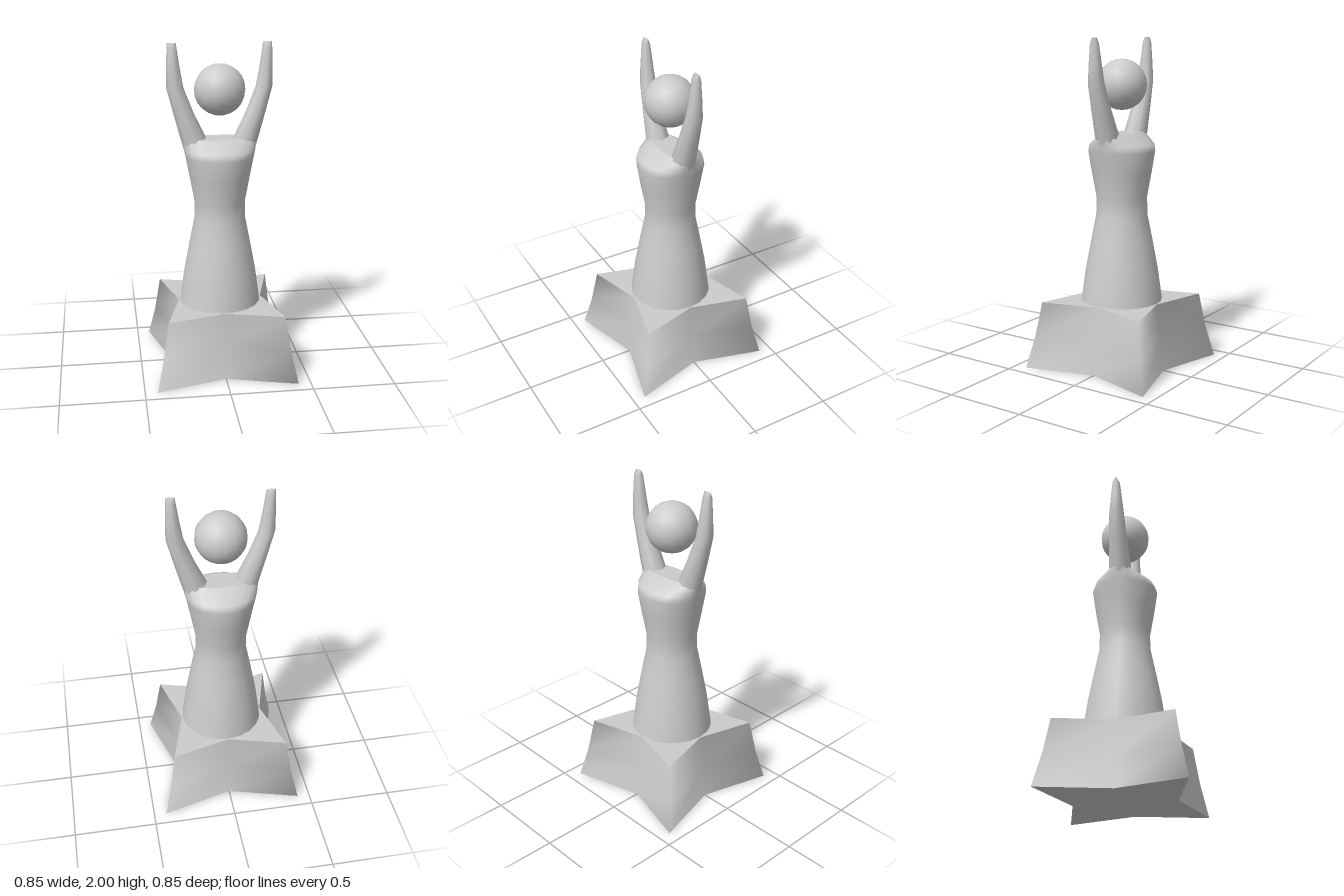
import * as THREE from 'three';
import { mergeGeometries } from 'three/addons/utils/BufferGeometryUtils.js';

const material = new THREE.MeshStandardMaterial({ color: 0xcccccc });

// Smooth skin through rings of points (bottom to top), closed by flat caps.
function loft(rings) {
  const n = rings[0].length;
  const build = (points, index) => {
    const g = new THREE.BufferGeometry().setFromPoints(points);
    g.setIndex(index);
    g.computeVertexNormals();
    return g;
  };
  const side = [];
  for (let r = 0; r < rings.length - 1; r++) {
    for (let i = 0; i < n; i++) {
      const a = r * n + i, b = r * n + (i + 1) % n;
      side.push(a, a + n, b, b, a + n, b + n);
    }
  }
  const cap = (ring, up) => {
    const centre = new THREE.Vector3();
    ring.forEach((p) => centre.addScaledVector(p, 1 / n));
    const index = [];
    for (let i = 0; i < n; i++) {
      const j = (i + 1) % n;
      index.push(n, up ? j : i, up ? i : j);
    }
    return build([...ring, centre], index);
  };
  return mergeGeometries([build(rings.flat(), side), cap(rings[0], false), cap(rings[rings.length - 1], true)]);
}

// Horizontal elliptical ring.
function oval(y, cx, rx, rz, n) {
  return Array.from({ length: n }, (_, i) => {
    const a = (i / n) * Math.PI * 2;
    return new THREE.Vector3(cx + rx * Math.cos(a), y, rz * Math.sin(a));
  });
}

// Horizontal four-pointed ring: corners on the diagonals, notches on the axes.
function star(y, corner, notch) {
  return Array.from({ length: 8 }, (_, i) => {
    const a = (i * Math.PI) / 4, r = i % 2 ? corner * Math.SQRT2 : notch;
    return new THREE.Vector3(r * Math.cos(a), y, r * Math.sin(a));
  });
}

export function createModel() {
  const group = new THREE.Group();
  const add = (name, geometry) => {
    const mesh = new THREE.Mesh(geometry, material);
    mesh.name = name;
    group.add(mesh);
    return mesh;
  };

  // Pedestal with concave sides
  add('base', loft([star(0, 0.425, 0.305), star(0.2, 0.382, 0.278), star(0.41, 0.35, 0.255)]));

  // Waisted torso: round below, narrowing to a ridge at the shoulders [y, rx, rz]
  const torso = [
    [0.4, 0.25, 0.25], [0.6, 0.222, 0.222], [0.78, 0.188, 0.188], [0.94, 0.156, 0.156],
    [1.05, 0.154, 0.154], [1.2, 0.181, 0.181], [1.33, 0.206, 0.2], [1.37, 0.215, 0.186], [1.436, 0.225, 0.075],
  ];
  add('torso', loft(torso.map(([y, rx, rz]) => oval(y, 0, rx, rz, 20))));

  // Raised arms [y, inner x, outer x, half depth]
  const arm = [
    [1.3, 0.04, 0.195, 0.07], [1.445, 0.085, 0.236, 0.069], [1.58, 0.15, 0.272, 0.059],
    [1.74, 0.213, 0.313, 0.048], [1.86, 0.234, 0.312, 0.036], [1.97, 0.25, 0.308, 0.024], [2, 0.254, 0.306, 0.008],
  ];
  for (const s of [1, -1]) {
    add(s > 0 ? 'leftArm' : 'rightArm',
      loft(arm.map(([y, a, b, d]) => oval(y, (s * (a + b)) / 2, (b - a) / 2, d, 8))));
  }

  // Ball floating between the hands
  add('ball', new THREE.SphereGeometry(0.152, 16, 12)).position.y = 1.725;

  return group;
}
